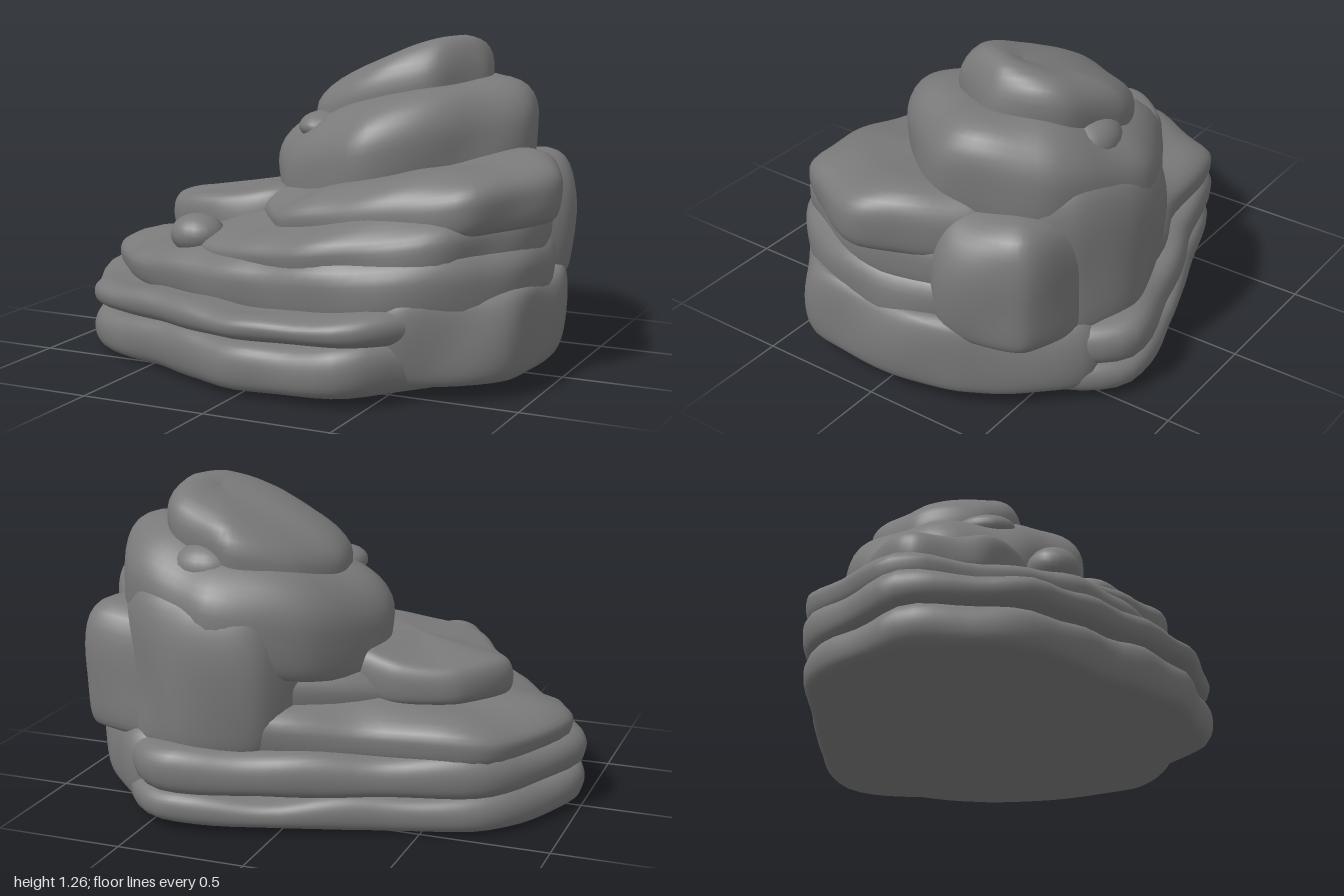
import * as THREE from 'three';

const material = new THREE.MeshStandardMaterial({ color: 0x7a7a7a });
const SIDES = 80;
const RINGS = 20;

// Gentle weathering, a smooth function of position
const wear = (x, y, z) =>
  0.009 * Math.sin(7 * x + 4 * z + 5 * y) + 0.008 * Math.sin(13 * z - 6 * x + 9 * y) + 0.005 * Math.sin(17 * x + 11 * z - 7 * y);

// Height of a tilted plane: [height at origin, rise along x, rise along z]
const plane = ([height, riseX, riseZ], x, z) => height + riseX * x + riseZ * z;

// One rock layer between two tilted planes. Its outline is a loop through
// radii spread evenly round the centre, starting at +x and turning towards +z.
// crown sets the upper edge: near 0 is a square slab, 1 is a dome.
function layer(name, { centre: [cx, cz], radii, bottom, top, crown = 0.08, lean = 0 }) {
  const corners = radii.map((r, i) => {
    const angle = (i / radii.length) * Math.PI * 2;
    return new THREE.Vector3(r * Math.cos(angle), 0, r * Math.sin(angle));
  });
  const outline = new THREE.CatmullRomCurve3(corners, true, 'catmullrom', 0.36).getSpacedPoints(SIDES);
  const positions = [], index = [];
  for (let r = 0; r <= RINGS; r++) {
    const phi = (r / RINGS - 0.5) * Math.PI;
    const pole = r === 0 || r === RINGS;
    const scale = pole ? 0 : Math.cos(phi) ** (phi < 0 ? 0.06 : crown);
    const t = 0.5 + 0.5 * Math.sin(phi);
    for (let i = 0; i < SIDES; i++) {
      const p = outline[i];
      const x = cx + p.x * scale, z = cz + p.z * scale;
      const y = THREE.MathUtils.lerp(plane(bottom, x, z), plane(top, x, z), t);
      const w = wear(x, y, z);
      const out = scale * (1 + w / p.length());
      const shift = phi > 0 ? lean * (1 - scale) : 0;
      positions.push(cx + p.x * out + shift, y + w * t, cz + p.z * out);
      if (r < RINGS) {
        const a = r * SIDES + i, b = r * SIDES + (i + 1) % SIDES;
        index.push(a, a + SIDES, b, b, a + SIDES, b + SIDES);
      }
    }
  }
  const geometry = new THREE.BufferGeometry();
  geometry.setAttribute('position', new THREE.Float32BufferAttribute(positions, 3));
  geometry.setIndex(index);
  geometry.computeVertexNormals();
  const mesh = new THREE.Mesh(geometry, material);
  mesh.name = name;
  return mesh;
}

// Small loose stone
function stone(name, position, radii) {
  const mesh = new THREE.Mesh(new THREE.SphereGeometry(1, 20, 14), material);
  mesh.name = name;
  mesh.position.set(...position);
  mesh.scale.set(...radii);
  return mesh;
}

export function createModel() {
  const model = new THREE.Group();
  model.name = 'layeredRock';

  // Two ledges round the foot share one outline
  const ledge = { centre: [0, 0], radii: [0.9, 0.84, 0.88, 0.81, 0.75, 0.92, 0.99, 0.87, 0.67, 0.73, 0.93, 0.85] };
  model.add(layer('baseLedge', { ...ledge, bottom: [0.02, 0.02, 0], top: [0.185, 0.02, 0.05] }));
  model.add(layer('secondLedge', { ...ledge, bottom: [0.175, 0.02, 0.05], top: [0.325, 0.025, 0], crown: 0.1 }));

  // Solid right-hand foot
  model.add(layer('foot', {
    centre: [0.55, 0], radii: [0.4, 0.52, 0.62, 0.6, 0.5, 0.6, 0.7, 0.5],
    bottom: [0.04, 0.02, 0], top: [0.38, 0, 0.02],
  }));

  // Long wedge and the band above it, both rising to the right
  model.add(layer('wedge', {
    centre: [0, 0], radii: [0.94, 0.93, 0.77, 0.65, 0.64, 0.77, 0.94, 0.86, 0.62, 0.65, 0.83, 0.88],
    bottom: [0.26, 0, 0], top: [0.53, 0.11, 0.03], crown: 0.45,
  }));
  model.add(layer('middleBand', {
    centre: [0.2, 0], radii: [0.73, 0.72, 0.65, 0.68, 0.78, 0.6, 0.64, 0.7],
    bottom: [0.4, 0.05, 0], top: [0.62, 0.16, -0.04], crown: 0.42,
  }));

  // Overhanging shelf on the right
  model.add(layer('rightShelf', {
    centre: [0.4, 0.05], radii: [0.6, 0.55, 0.45, 0.56, 0.6, 0.5, 0.47, 0.54],
    bottom: [0.53, 0.08, 0], top: [0.71, 0.18, -0.05], crown: 0.28,
  }));

  // Upright masses at the back
  model.add(layer('backButtress', {
    centre: [0.35, -0.4], radii: [0.38, 0.36, 0.3, 0.35, 0.42, 0.4, 0.35, 0.36],
    bottom: [0.28, 0, 0], top: [0.98, 0, 0.08], crown: 0.22,
  }));
  model.add(layer('rearBulge', {
    centre: [0.52, -0.28], radii: [0.38, 0.3, 0.3, 0.3, 0.3, 0.4, 0.39, 0.45],
    bottom: [0.3, 0, 0], top: [0.8, 0, 0], crown: 0.3,
  }));

  // Tower and the leaning summit
  model.add(layer('tower', {
    centre: [0.27, -0.2], radii: [0.52, 0.44, 0.5, 0.5, 0.54, 0.52, 0.53, 0.53],
    bottom: [0.58, 0.2, 0.02], top: [0.98, 0.23, -0.02], crown: 0.5,
  }));
  model.add(layer('summit', {
    centre: [0.22, -0.27], radii: [0.36, 0.33, 0.3, 0.37, 0.33, 0.3, 0.34, 0.35],
    bottom: [0.8, 0.2, 0], top: [1.17, 0.3, 0.02], crown: 0.95, lean: 0.17,
  }));

  // Flat slab on the low left slope
  model.add(layer('leftSlab', {
    centre: [-0.35, -0.05], radii: [0.35, 0.33, 0.3, 0.33, 0.37, 0.34, 0.33, 0.36],
    bottom: [0.46, 0.02, 0], top: [0.69, 0.13, 0.02], crown: 0.12,
  }));

  model.add(stone('pebble', [-0.37, 0.51, 0.38], [0.11, 0.08, 0.1]));
  model.add(stone('rearStone', [0.34, 0.97, -0.54], [0.13, 0.09, 0.1]));
  model.add(stone('shoulderStone', [-0.01, 0.91, -0.02], [0.1, 0.06, 0.13]));
  return model;
}
